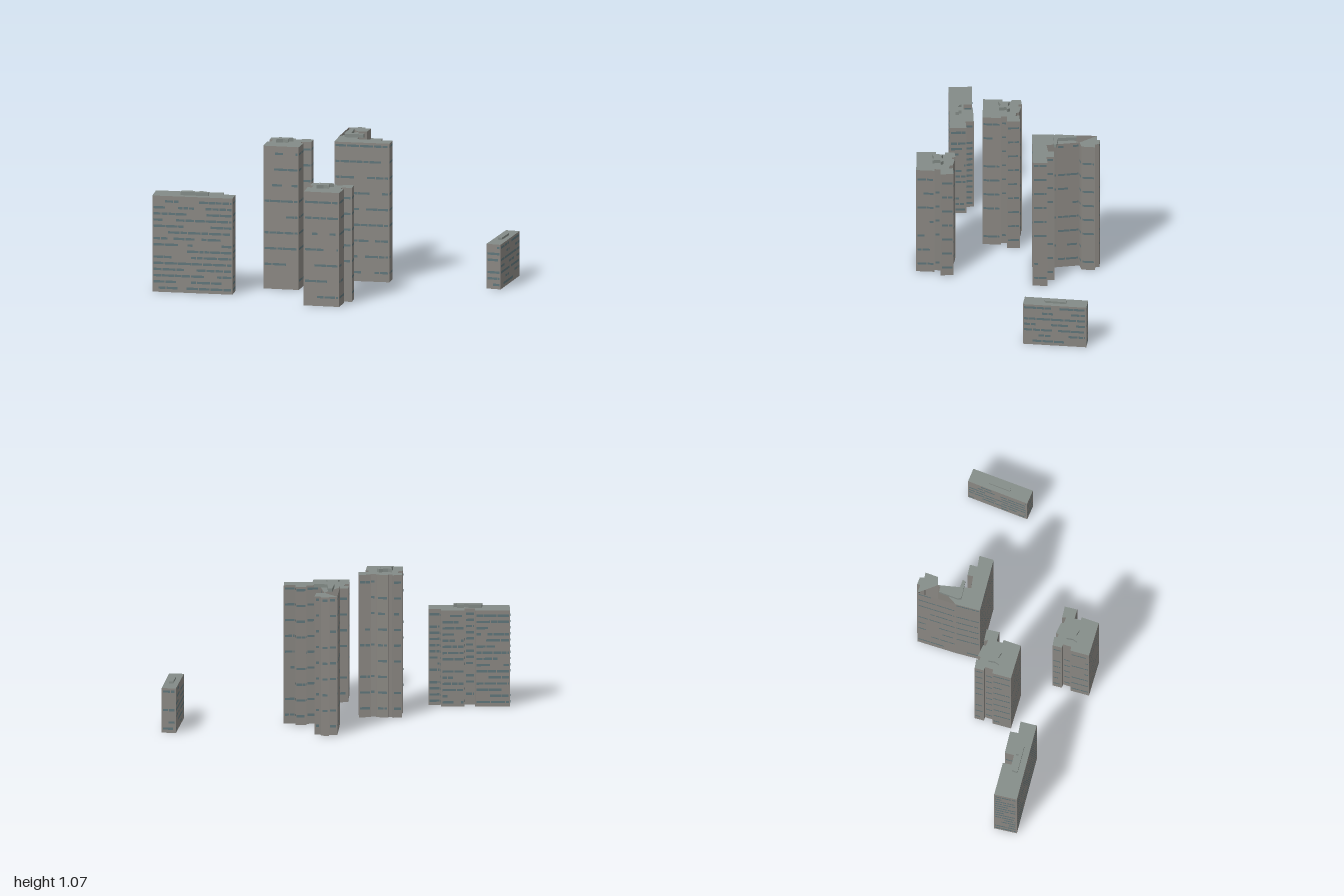
import * as THREE from 'three';

const material = (color) => new THREE.MeshStandardMaterial({ color, side: THREE.DoubleSide, flatShading: true });
const wallMat = material(0x8a8782);
const roofMat = material(0x838b87);
const glassMat = material(0x5f757a);

// Small repeatable number generator for the window pattern
let seed = 7;
const rand = () => (seed = (seed * 16807) % 2147483647) / 2147483647;

// Outline of [x, z] corners, ordered so that walls face outward
function outline(points) {
  const pts = points.map(([x, z]) => new THREE.Vector2(x, -z));
  return THREE.ShapeUtils.isClockWise(pts) ? pts.reverse() : pts;
}

// Upright rectangle from corner a to corner b
function pushQuad(out, a, b, y0, y1) {
  out.push(a.x, y0, -a.y, b.x, y0, -b.y, b.x, y1, -b.y);
  out.push(a.x, y0, -a.y, b.x, y1, -b.y, a.x, y1, -a.y);
}

function quadMesh(positions, mat, name) {
  const geo = new THREE.BufferGeometry();
  geo.setAttribute('position', new THREE.Float32BufferAttribute(positions, 3));
  geo.computeVertexNormals();
  const mesh = new THREE.Mesh(geo, mat);
  mesh.name = name;
  return mesh;
}

function walls(points, y0, y1, mat, name) {
  const pts = outline(points), out = [];
  pts.forEach((p, i) => pushQuad(out, p, pts[(i + 1) % pts.length], y0, y1));
  return quadMesh(out, mat, name);
}

function flatRoof(points, y, name) {
  const geo = new THREE.ShapeGeometry(new THREE.Shape(outline(points)));
  geo.rotateX(-Math.PI / 2).translate(0, y, 0);
  const mesh = new THREE.Mesh(geo, roofMat);
  mesh.name = name;
  return mesh;
}

// Broken horizontal window bands on every wall that is wide enough
function windows(points, height, pitch, band, fill) {
  const pts = outline(points), out = [];
  pts.forEach((p, i) => {
    const q = pts[(i + 1) % pts.length];
    const dir = q.clone().sub(p), len = dir.length();
    if (len < 0.04) return;
    dir.divideScalar(len);
    const push = new THREE.Vector2(dir.y, -dir.x).multiplyScalar(0.001);
    const at = (t) => p.clone().addScaledVector(dir, t).add(push);
    for (let y = pitch * 0.5; y + band < height; y += pitch) {
      let t = 0.008;
      while (t < len - 0.015) {
        const end = Math.min(t + 0.03 + rand() * 0.07, len - 0.008);
        if (rand() < fill) pushQuad(out, at(t), at(end), y, y + band);
        t = end + 0.006;
      }
    }
  });
  return quadMesh(out, glassMat, 'windowBands');
}

function building(name, { plan, height, roofs = [plan], hut, hutTop, pitch, band, fill }) {
  const group = new THREE.Group();
  group.name = name;
  group.add(walls(plan, 0, height, wallMat, 'walls'));
  roofs.forEach((r) => group.add(flatRoof(r, height, 'roof')));
  group.add(windows(plan, height, pitch, band, fill));
  group.add(walls(hut, height, hutTop, roofMat, 'roofHutWalls'));
  group.add(flatRoof(hut, hutTop, 'roofHutTop'));
  return group;
}

const slabWindows = { pitch: 0.045, band: 0.017, fill: 0.75 };
const towerWindows = { pitch: 0.115, band: 0.016, fill: 0.8 };

// Wide slab with a notched back
const wideSlab = {
  plan: [[-1, 0.85], [-0.78, 0.735], [-0.75, 0.79], [-0.685, 0.755], [-0.715, 0.695], [-0.57, 0.615],
    [-0.54, 0.665], [-0.465, 0.62], [-0.41, 0.725], [-0.92, 0.995]],
  height: 0.7,
  hut: [[-0.785, 0.825], [-0.705, 0.78], [-0.69, 0.795], [-0.665, 0.785], [-0.675, 0.765], [-0.63, 0.745],
    [-0.62, 0.765], [-0.6, 0.75], [-0.59, 0.77], [-0.77, 0.865]],
  hutTop: 0.725, ...slabWindows,
};

// Stepped tower plan, used twice
const towerPlan = [[-0.475, 0.19], [-0.42, 0.155], [-0.405, 0.175], [-0.385, 0.165], [-0.39, 0.145], [-0.31, 0.12],
  [-0.295, 0.135], [-0.255, 0.12], [-0.275, 0.1], [-0.2, 0.057], [-0.157, 0.138], [-0.22, 0.17], [-0.2, 0.21],
  [-0.18, 0.2], [-0.13, 0.32], [-0.36, 0.433], [-0.42, 0.31], [-0.395, 0.295], [-0.42, 0.24], [-0.445, 0.25]];
const towerHut = [[-0.375, 0.23], [-0.345, 0.228], [-0.315, 0.208], [-0.295, 0.187], [-0.275, 0.195], [-0.298, 0.217],
  [-0.267, 0.26], [-0.31, 0.268], [-0.345, 0.305], [-0.35, 0.27]];

// L-shaped tower whose roof is open near the far wing
const tip = [-0.315, -0.5], elbow = [-0.175, -0.43], step = [-0.2, -0.24];
const mainPart = [step, [-0.12, -0.08], [0.23, -0.265], [0.185, -0.36], [0.115, -0.315], [0.09, -0.365],
  [0.02, -0.325], [0.04, -0.29], [-0.035, -0.24], [-0.08, -0.3], elbow];
const wingPart = [elbow, [-0.13, -0.47], [-0.165, -0.56], [-0.2, -0.54], [-0.22, -0.565], [-0.27, -0.545],
  [-0.26, -0.525], tip];
const cornerTower = {
  plan: [...mainPart, ...wingPart.slice(1)],
  roofs: [mainPart, wingPart],
  height: 1.01,
  hut: [[-0.215, -0.385], [-0.19, -0.4], [-0.125, -0.285], [-0.035, -0.32], [-0.03, -0.3], [-0.145, -0.235],
    [-0.165, -0.255]],
  hutTop: 1.035, ...towerWindows,
};

// Low narrow slab standing apart
const lowSlab = {
  plan: [[0.735, -0.965], [0.83, -1], [0.99, -0.575], [0.89, -0.54]],
  height: 0.325,
  hut: [[0.82, -0.84], [0.85, -0.85], [0.9, -0.705], [0.875, -0.69]],
  hutTop: 0.34, ...slabWindows,
};

export function createModel() {
  const model = new THREE.Group();
  model.name = 'towerBlocks';
  model.add(building('wideSlab', wideSlab));
  model.add(building('cornerTower', cornerTower));
  model.add(building('lowSlab', lowSlab));
  // Two towers of different height share one plan
  const towers = [['tallTower', 0, 0, 1.04], ['shortTower', 0.555, 0.245, 0.83]];
  for (const [name, dx, dz, height] of towers) {
    const move = (pts) => pts.map(([x, z]) => [x + dx, z + dz]);
    model.add(building(name, {
      plan: move(towerPlan), height, hut: move(towerHut), hutTop: height + 0.025, ...towerWindows,
    }));
  }
  return model;
}
